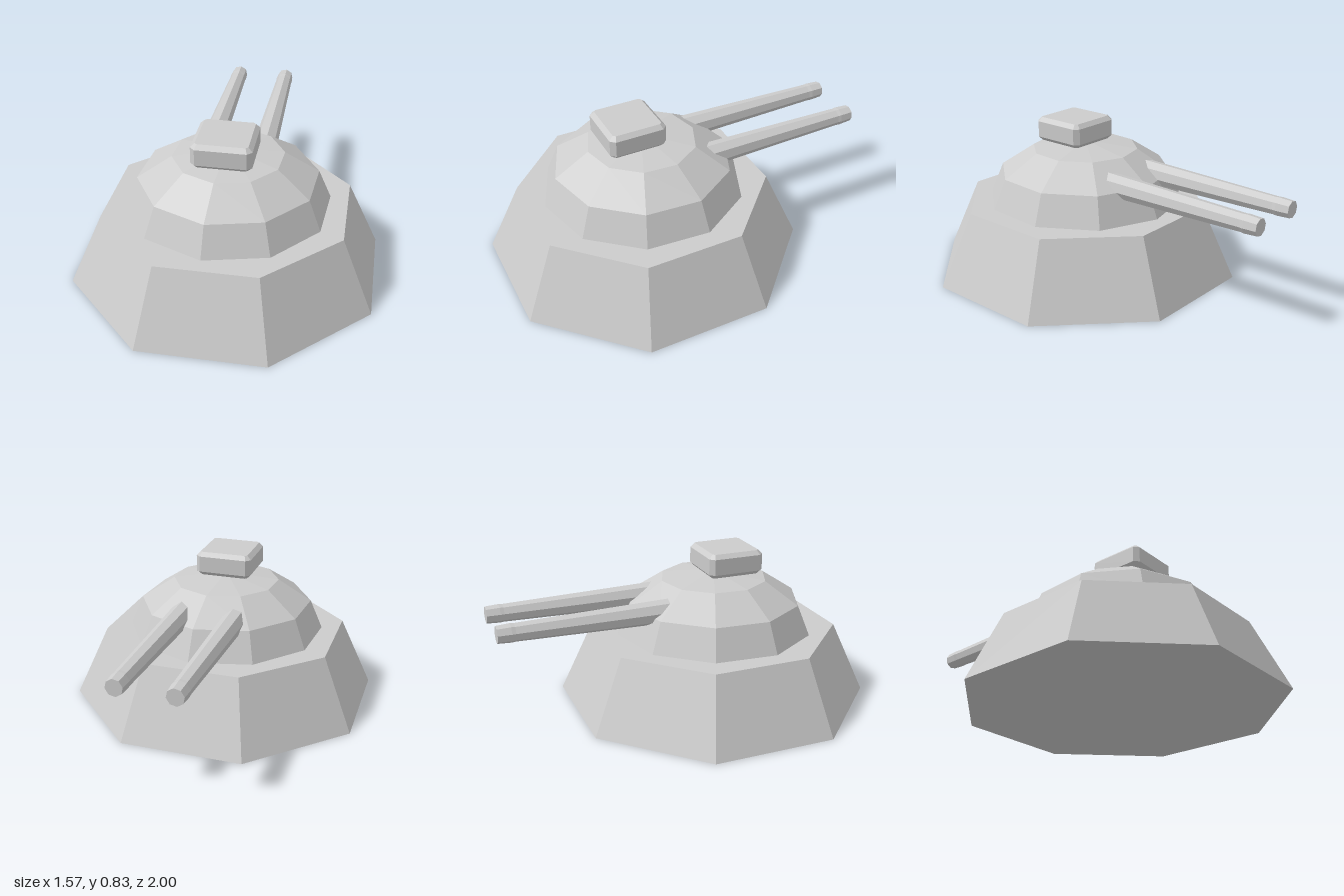
import * as THREE from 'three';

const CENTER_Z = 0.213;

// Faceted solid of revolution from [radius, height] pairs
function lathe(profile, sides, start) {
  const points = profile.map(([r, y]) => new THREE.Vector2(r, y));
  return new THREE.LatheGeometry(points, sides, start);
}

// Square outline with cut corners
function cutSquare(half, cut) {
  const a = half, b = half - cut;
  return new THREE.Shape([
    [a, -b], [a, b], [b, a], [-b, a], [-a, b], [-a, -b], [-b, -a], [b, -a],
  ].map(([x, y]) => new THREE.Vector2(x, y)));
}

export function createModel() {
  const group = new THREE.Group();
  group.name = 'gunTurret';
  const grey = new THREE.MeshStandardMaterial({ color: 0xcccccc, flatShading: true });
  grey.name = 'light grey';

  function add(name, geometry, x, y, z) {
    const mesh = new THREE.Mesh(geometry, grey);
    mesh.name = name;
    mesh.position.set(x, y, z);
    group.add(mesh);
    return mesh;
  }

  // Octagonal sloped base
  const k = Math.cos(Math.PI / 8);
  add('base', new THREE.CylinderGeometry(0.62 / k, 0.787 / k, 0.39, 8, 1, false, Math.PI / 8),
    0, 0.195, CENTER_Z);

  // Ten-sided dome, turned slightly
  add('dome', lathe([[0.54, 0.39], [0.472, 0.55], [0.29, 0.67], [0, 0.708]], 10, -0.074),
    0, 0, CENTER_Z);

  // Hatch block with chamfered edges
  const bevel = 0.022;
  const hatch = new THREE.ExtrudeGeometry(cutSquare(0.154 - bevel, 0.012), {
    depth: 0.13 - 2 * bevel, bevelEnabled: true, bevelSegments: 1,
    bevelSize: bevel, bevelThickness: bevel,
  });
  hatch.rotateX(-Math.PI / 2);
  add('hatch', hatch, 0, 0.7 + bevel, 0.286);

  // Twin tapered barrels pointing backward, with a muzzle band
  const barrel = lathe([
    [0, 0], [0.065, 0], [0.047, 0.84], [0.049, 0.86], [0.045, 0.93], [0, 0.93],
  ], 8, 0.17);
  barrel.rotateX(-Math.PI / 2);
  for (const side of [-1, 1]) {
    add(side > 0 ? 'leftBarrel' : 'rightBarrel', barrel, side * 0.145, 0.562, -0.07);
  }
  return group;
}
